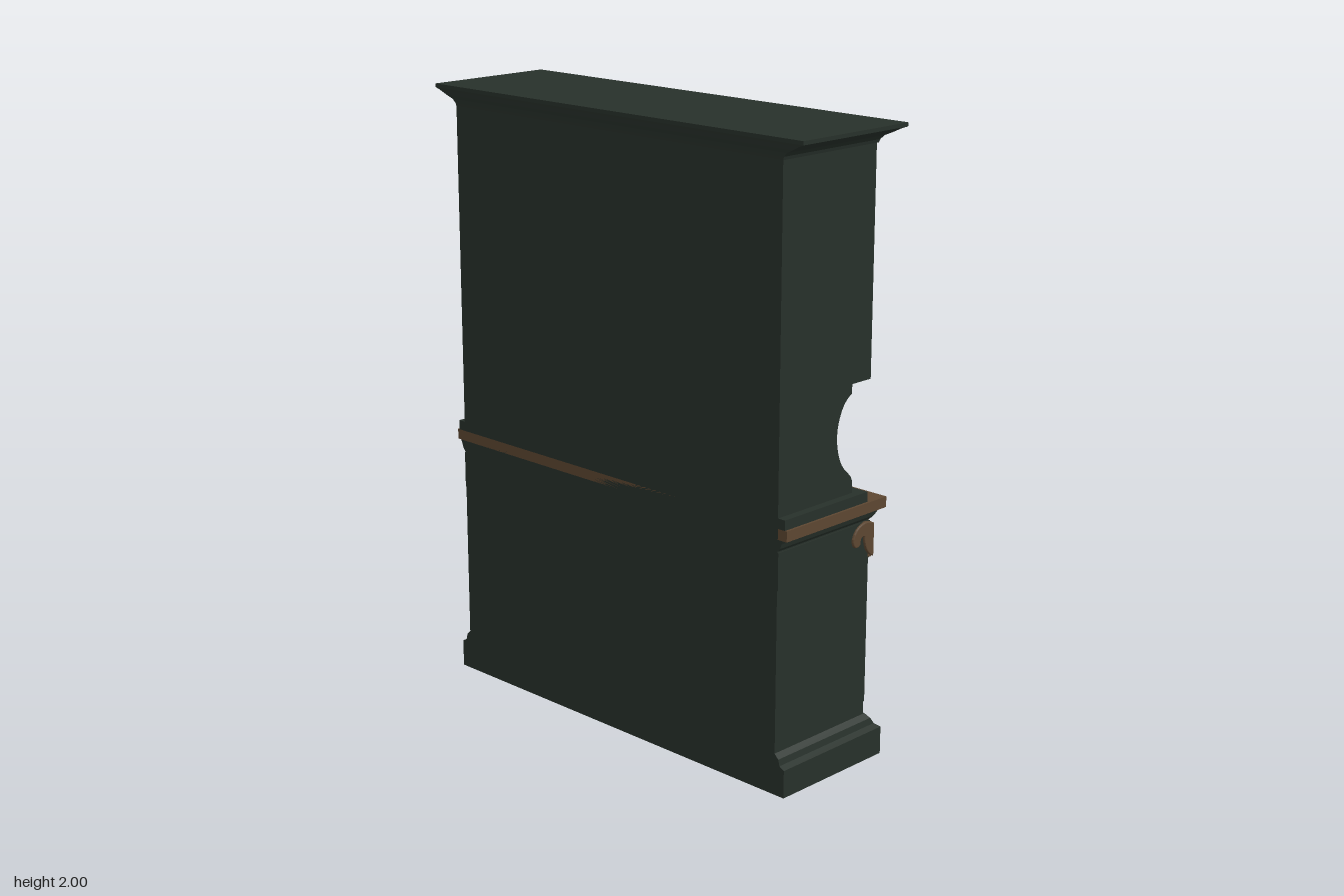
import * as THREE from 'three';

const mat = (color, side = THREE.FrontSide) => {
  const m = new THREE.MeshStandardMaterial({ side });
  m.color.set(color);
  return m;
};
const green = mat(0x27302a), wood = mat(0x5c4631), dark = mat(0x2c1f19, THREE.DoubleSide);
const knobMat = mat(0x1a1c1a), glassMat = mat(0xcccccc, THREE.DoubleSide);

export function createModel() {
  const model = new THREE.Group();
  // Built with its doors toward local +z, then turned so the doors face +x
  const hutch = new THREE.Group();
  hutch.name = 'hutch';
  hutch.rotation.y = Math.PI / 2;
  model.add(hutch);

  const add = (name, geo, material, x = 0, y = 0, z = 0) => {
    const mesh = new THREE.Mesh(geo, material);
    mesh.name = name;
    mesh.position.set(x, y, z);
    hutch.add(mesh);
    return mesh;
  };
  // Box from its limits
  const box = (name, x0, x1, y0, y1, z0, z1, material = green) =>
    add(name, new THREE.BoxGeometry(x1 - x0, y1 - y0, z1 - z0), material,
      (x0 + x1) / 2, (y0 + y1) / 2, (z0 + z1) / 2);
  const rectPoints = (x0, x1, y0, y1) =>
    [[x0, y0], [x1, y0], [x1, y1], [x0, y1]].map(p => new THREE.Vector2(...p));
  // Flat board with rectangular openings
  const board = (name, rect, holes, z0, z1, material = green) => {
    const shape = new THREE.Shape(rectPoints(...rect));
    holes.forEach(h => shape.holes.push(new THREE.Path(rectPoints(...h))));
    return add(name, new THREE.ExtrudeGeometry(shape, { depth: z1 - z0, bevelEnabled: false }), material, 0, 0, z0);
  };
  // Moulding: stacked rectangles [y, half width, back, front]
  const moulding = (name, rows, material = green) => {
    const pos = [];
    const rings = rows.map(([y, w, b, f]) => [[-w, y, f], [w, y, f], [w, y, b], [-w, y, b]]);
    const quad = (a, b, c, d) => [a, b, c, a, c, d].forEach(p => pos.push(...p));
    for (let i = 0; i < rings.length - 1; i++)
      for (let k = 0; k < 4; k++) {
        const n = (k + 1) % 4;
        quad(rings[i][k], rings[i][n], rings[i + 1][n], rings[i + 1][k]);
      }
    const top = rings[rings.length - 1];
    quad(top[0], top[1], top[2], top[3]);
    quad(rings[0][3], rings[0][2], rings[0][1], rings[0][0]);
    const geo = new THREE.BufferGeometry();
    geo.setAttribute('position', new THREE.Float32BufferAttribute(pos, 3));
    geo.computeVertexNormals();
    return add(name, geo, material);
  };
  // Frame with a raised, bevelled centre panel
  const panelled = (name, x0, x1, y0, y1, z, rim, depth = 0.012) => {
    const [a, b, c, d] = [x0 + rim, x1 - rim, y0 + rim * 1.15, y1 - rim * 1.15];
    board(name + 'Frame', [x0, x1, y0, y1], [[a, b, c, d]], z, z + depth);
    const g = rim * 0.45;
    board(name + 'Bead', [a - 0.005, b + 0.005, c - 0.005, d + 0.005],
      [[a + 0.008, b - 0.008, c + 0.008, d - 0.008]], z, z + depth + 0.005);
    const geo = new THREE.ExtrudeGeometry(new THREE.Shape(rectPoints(a + g, b - g, c + g, d - g)),
      { depth: 0.001, bevelThickness: depth * 0.75, bevelSize: g * 0.5, bevelSegments: 1 });
    add(name + 'Panel', geo, green, 0, 0, z);
  };
  const knobGeo = new THREE.LatheGeometry([[0.013, 0], [0.007, 0.004], [0.006, 0.012], [0.016, 0.017],
    [0.018, 0.023], [0.012, 0.029], [0, 0.031]].map(p => new THREE.Vector2(...p)), 16).rotateX(Math.PI / 2);
  const knob = (x, y, z) => add('knob', knobGeo, knobMat, x, y, z);

  // Base cabinet
  moulding('plinth', [[0, 0.738, -0.247, 0.207], [0.09, 0.738, -0.247, 0.207], [0.1, 0.72, -0.247, 0.195],
    [0.12, 0.715, -0.247, 0.183], [0.135, 0.7, -0.247, 0.172]]);
  box('back', -0.7, 0.7, 0.1, 1.95, -0.247, -0.225);
  board('baseFront', [-0.7, 0.7, 0.13, 0.79], [[-0.22, 0.22, 0.18, 0.55]], 0.13, 0.165);
  for (const s of [-1, 1]) {
    box('baseSide', s * 0.68 - 0.02, s * 0.68 + 0.02, 0.13, 0.79, -0.23, 0.165);
    box('sideFrieze', s * 0.685 - 0.018, s * 0.685 + 0.018, 0.655, 0.775, -0.247, 0.17);
    box('baseBaySide', s * 0.25 - 0.012, s * 0.25 + 0.012, 0.13, 0.6, -0.23, 0.14);
    panelled('baseDoor', s > 0 ? 0.27 : -0.575, s > 0 ? 0.575 : -0.27, 0.17, 0.775, 0.164, 0.044);
    panelled('pilaster', s > 0 ? 0.607 : -0.697, s > 0 ? 0.697 : -0.607, 0.175, 0.66, 0.164, 0.016, 0.009);
    knob(s * 0.297, 0.678, 0.174);
  }
  box('baseBayTop', -0.25, 0.25, 0.57, 0.6, -0.23, 0.14);
  box('drawer', -0.237, 0.237, 0.61, 0.775, 0.16, 0.176);
  knob(0, 0.7, 0.174);
  moulding('counterMoulding', [[0.78, 0.702, -0.247, 0.172], [0.79, 0.71, -0.247, 0.18],
    [0.805, 0.715, -0.247, 0.192], [0.818, 0.722, -0.247, 0.197]]);
  box('countertop', -0.735, 0.735, 0.816, 0.85, -0.247, 0.207, wood);

  // Carved corner leaves: one on the front and one on the side of each corner
  const leaf = new THREE.Shape();
  leaf.moveTo(0, 0.1);
  leaf.bezierCurveTo(0.03, 0.12, 0.08, 0.11, 0.092, 0.07);
  leaf.bezierCurveTo(0.095, 0.045, 0.075, 0.035, 0.062, 0.05);
  leaf.bezierCurveTo(0.066, 0.07, 0.05, 0.078, 0.038, 0.068);
  leaf.bezierCurveTo(0.04, 0.04, 0.025, 0.01, 0, 0);
  const leafGeo = new THREE.ExtrudeGeometry(leaf, { depth: 0.006, bevelThickness: 0.007, bevelSize: 0.004, bevelSegments: 3, curveSegments: 8 });
  for (const s of [-1, 1]) {
    const corner = new THREE.Group();
    corner.name = 'cornerLeaf';
    const front = new THREE.Mesh(leafGeo, wood), side = new THREE.Mesh(leafGeo, wood);
    front.position.z = 0.17;
    front.rotation.y = 0;
    front.scale.x = -1;
    front.position.x = 0.702;
    side.rotation.y = Math.PI / 2;
    side.position.set(0.697, 0, 0.182);
    corner.add(front, side);
    corner.position.y = 0.662;
    corner.scale.x = s;
    hutch.add(corner);
  }

  // Hutch sides with the scooped front edge, drawn as (depth, height)
  const sideShape = new THREE.Shape();
  sideShape.moveTo(-0.247, 0.85);
  sideShape.lineTo(0.085, 0.85);
  sideShape.lineTo(0.085, 0.915);
  sideShape.bezierCurveTo(0.08, 0.95, 0.045, 0.95, 0.025, 1.0);
  sideShape.bezierCurveTo(0.005, 1.05, 0.005, 1.1, 0.03, 1.15);
  sideShape.quadraticCurveTo(0.045, 1.18, 0.075, 1.195);
  [[0.075, 1.224], [0.155, 1.224], [0.155, 1.95], [-0.247, 1.95]].forEach(p => sideShape.lineTo(...p));
  const sideGeo = new THREE.ExtrudeGeometry(sideShape, { depth: 0.03, bevelEnabled: false, curveSegments: 14 });
  sideGeo.rotateY(-Math.PI / 2);
  for (const s of [-1, 1]) {
    add('hutchSide', sideGeo, green, s > 0 ? 0.7 : -0.67);
    box('sideFoot', s * 0.69 - 0.037, s * 0.69 + 0.037, 0.85, 0.882, -0.247, 0.127);
  }

  // Back planks and splash rail
  for (let i = -4; i <= 4; i++)
    box('backPlank', Math.max(i * 0.152 - 0.07, -0.68), Math.min(i * 0.152 + 0.07, 0.68), 0.85, 1.93, -0.225, -0.212, wood);
  box('splashRail', -0.67, 0.67, 0.85, 1.0, -0.225, -0.205, wood);

  // Upper cabinet
  board('upperFront', [-0.7, 0.7, 1.224, 1.95], [[-0.237, 0.237, 1.27, 1.478], [-0.22, 0.22, 1.535, 1.885]], 0.13, 0.16);
  box('upperBottom', -0.68, 0.68, 1.224, 1.265, -0.23, 0.14);
  box('upperTop', -0.68, 0.68, 1.9, 1.95, -0.23, 0.14);
  box('bayShelf', -0.25, 0.25, 1.482, 1.52, -0.23, 0.14);
  for (const s of [-1, 1]) {
    box('upperBaySide', s * 0.25 - 0.012, s * 0.25 + 0.012, 1.25, 1.92, -0.23, 0.14);
    panelled('upperDoor', s > 0 ? 0.275 : -0.65, s > 0 ? 0.65 : -0.275, 1.27, 1.9, 0.159, 0.046);
    knob(s * 0.3, 1.378, 0.167);
  }
  moulding('crown', [[1.935, 0.7, -0.247, 0.168], [1.945, 0.703, -0.248, 0.172], [1.957, 0.715, -0.25, 0.176],
    [1.968, 0.74, -0.254, 0.183], [1.982, 0.768, -0.258, 0.191], [1.988, 0.785, -0.26, 0.196], [2, 0.785, -0.26, 0.196]]);

  // Diagonal wine racks
  const rack = (y0, y1, cy) => {
    const w = 0.205;
    board('rackFrame', [-0.237, 0.237, y0, y1], [[-w, w, y0 + 0.032, y1 - 0.032]], 0.14, 0.168, wood);
    const lo = y0 + 0.025, hi = y1 - 0.025;
    for (const s of [-1, 1])
      for (let k = -9; k <= 9; k += 2) {
        // Strip along y = cy + s * x + c, clipped to the frame
        const c = k * 0.075;
        const ends = [(lo - cy - c) * s, (hi - cy - c) * s].sort((a, b) => a - b);
        const a = Math.max(-w - 0.005, ends[0]), b = Math.min(w + 0.005, ends[1]);
        if (b - a < 0.02) continue;
        const x = (a + b) / 2;
        add('rackStrip', new THREE.BoxGeometry((b - a) * Math.SQRT2, 0.022, 0.012), wood,
          x, cy + s * x + c, 0.146 + s * 0.005).rotation.z = s * Math.PI / 4;
      }
  };
  rack(0.165, 0.567, 0.445);
  rack(1.52, 1.9, 1.79);

  // Bottles
  const bottleGeo = new THREE.LatheGeometry([[0, 0], [0.04, 0], [0.043, 0.006], [0.043, 0.17], [0.038, 0.2], [0.022, 0.235],
    [0.016, 0.26], [0.014, 0.315], [0.017, 0.318], [0.017, 0.338], [0.013, 0.345], [0, 0.345]].map(p => new THREE.Vector2(...p)), 24);
  add('counterBottle', bottleGeo, dark, -0.39, 0.85, 0.03);
  const stored = [[0, 0.445], [0.145, 0.445], [-0.075, 0.36], [-0.148, 0.288], [0.005, 0.29],
    [-0.003, 1.788], [-0.078, 1.706], [0.15, 1.645, 0.26]];
  for (const [x, y, tip = 0.165] of stored)
    add('storedBottle', bottleGeo, dark, x, y, tip - 0.345).rotation.x = Math.PI / 2;

  // Stemmed glasses: two standing and four hung upside down from rails
  const glassGeo = new THREE.LatheGeometry([[0, 0], [0.027, 0], [0.026, 0.004], [0.007, 0.01], [0.006, 0.075], [0.02, 0.085],
    [0.036, 0.107], [0.042, 0.135], [0.041, 0.16], [0.037, 0.185], [0.034, 0.185], [0.038, 0.14], [0.03, 0.108], [0, 0.09]]
    .map(p => new THREE.Vector2(...p)), 24);
  add('standingGlass', glassGeo, glassMat, -0.254, 0.85, -0.025);
  add('standingGlass', glassGeo, glassMat, -0.138, 0.85, 0.03);
  for (let i = 0; i < 4; i++) {
    const hung = add('hungGlass', glassGeo, glassMat, -0.167 + i * 0.114, 1.462, 0.07);
    hung.rotation.x = Math.PI;
    hung.scale.set(0.9, 0.95, 0.9);
  }
  for (let i = 0; i < 5; i++) {
    const x = -0.224 + i * 0.112;
    box('glassRail', x - 0.014, x + 0.014, 1.452, 1.484, -0.2, 0.125, wood);
    box('glassRailLip', Math.max(x - 0.036, -0.237), Math.min(x + 0.036, 0.237), 1.444, 1.453, -0.2, 0.125, wood);
  }
  return model;
}
